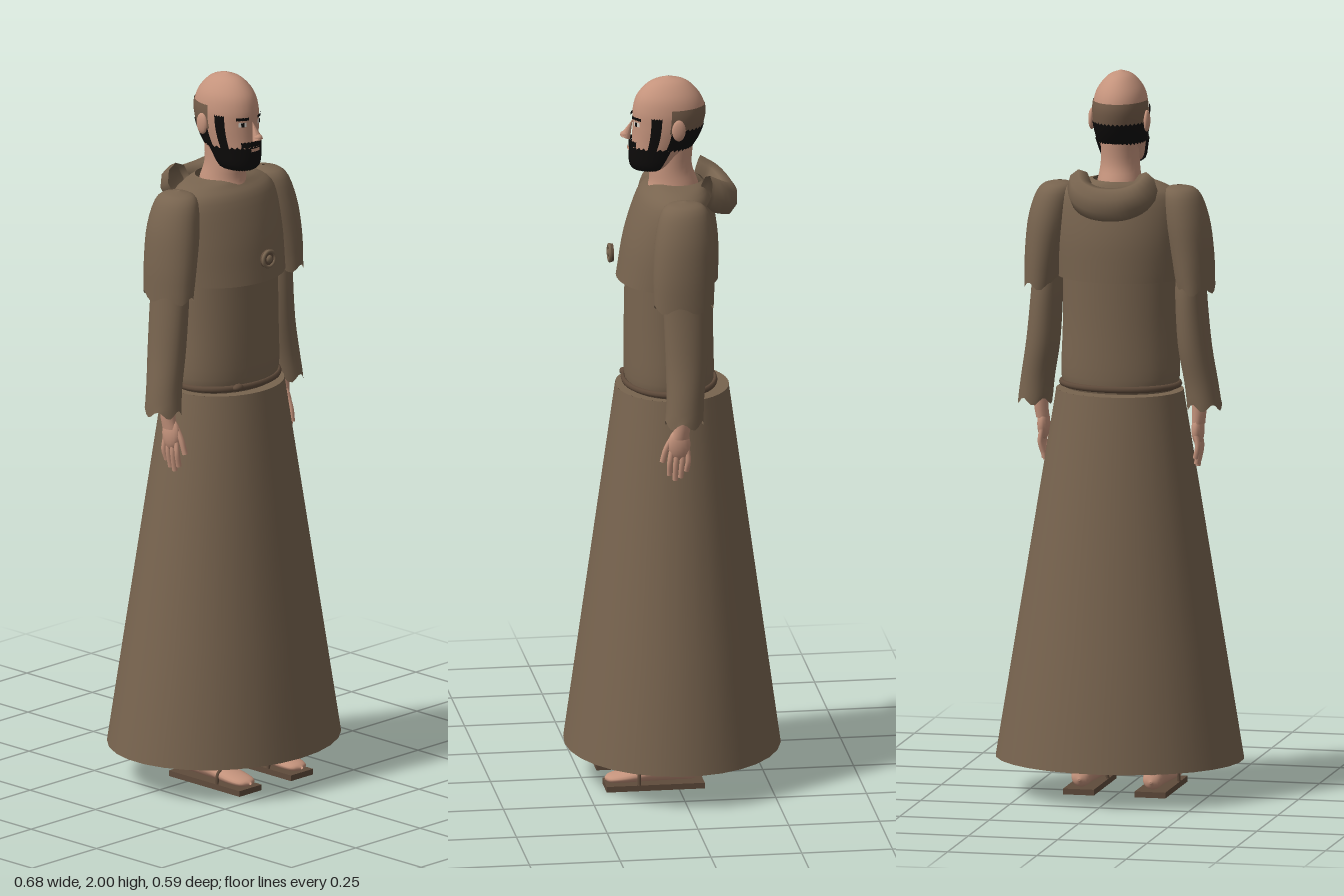
import * as THREE from 'three';

const mat = (name, color) => {
  const m = new THREE.MeshStandardMaterial({ color, side: THREE.DoubleSide });
  m.name = name;
  return m;
};

// Rows are [y, rx, rz, cx, cz], listed from top to bottom; angle 0 faces the front.
function densify(rows, steps) {
  const radii = new THREE.CatmullRomCurve3(rows.map(r => new THREE.Vector3(r[1], r[0], r[2])), false, 'catmullrom');
  const mids = new THREE.CatmullRomCurve3(rows.map(r => new THREE.Vector3(r[3] || 0, 0, r[4] || 0)), false, 'catmullrom');
  const n = (rows.length - 1) * steps;
  return Array.from({ length: n + 1 }, (_, i) => {
    const a = radii.getPoint(i / n), b = mids.getPoint(i / n);
    return [a.y, a.x, a.z, b.x, b.z];
  });
}

// Skins a grid of points, optionally joined around
function skin(rows, cols, closed, point) {
  const pos = [], index = [], w = closed ? cols : cols + 1;
  for (let i = 0; i <= rows; i++) for (let j = 0; j < w; j++) pos.push(...point(i, j));
  for (let i = 0; i < rows; i++) for (let j = 0; j < cols; j++) {
    const k = (j + 1) % w, a = i * w + j, b = i * w + k, c = a + w, d = b + w;
    index.push(a, c, b, b, c, d);
  }
  const g = new THREE.BufferGeometry();
  g.setAttribute('position', new THREE.Float32BufferAttribute(pos, 3));
  g.setIndex(index);
  g.computeVertexNormals();
  return g;
}

// Elliptical loft with an optional wavy hem
function loft(rows, { steps = 4, seg = 28, hem = 0 } = {}) {
  const s = densify(rows, steps), n = s.length - 1;
  return skin(n, seg, true, (i, j) => {
    const a = j / seg * Math.PI * 2, [y, rx, rz, cx, cz] = s[i];
    const dy = i === n ? hem * Math.sin(a * 5 + 1) : 0;
    return [cx + rx * Math.sin(a), y + dy, cz + rz * Math.cos(a)];
  });
}

const HEAD = densify([
  [2.0, 0.002, 0.002, 0, 0.01], [1.985, 0.035, 0.05, 0, 0.01], [1.95, 0.063, 0.085, 0, 0.01],
  [1.91, 0.074, 0.099, 0, 0.009], [1.87, 0.074, 0.097, 0, 0.012], [1.83, 0.069, 0.09, 0, 0.02],
  [1.79, 0.061, 0.077, 0, 0.035], [1.75, 0.05, 0.056, 0, 0.052], [1.735, 0.02, 0.03, 0, 0.06]], 5);

function headAt(y) {
  let i = 0;
  while (i < HEAD.length - 2 && HEAD[i + 1][0] > y) i++;
  const p = HEAD[i], q = HEAD[i + 1], t = THREE.MathUtils.clamp((p[0] - y) / (p[0] - q[0]), 0, 1);
  return p.map((v, k) => v + (q[k] - v) * t);
}

// Thin patch lying on the head between two heights and two angles
function headPatch(y0, y1, a0, a1, lift, jag = 0, cols = 24) {
  return skin(6, cols, false, (i, j) => {
    let y = y0 + (y1 - y0) * i / 6;
    if (j % 2 && i === 0) y -= jag;
    if (j % 2 && i === 6) y += jag;
    const a = a0 + (a1 - a0) * j / cols, [, rx, rz, , cz] = headAt(y);
    return [(rx + lift) * Math.sin(a), y, cz + (rz + lift) * Math.cos(a)];
  });
}

export function createModel() {
  const model = new THREE.Group();
  const cloth = mat('brown cloth', 0x78644f), flesh = mat('skin', 0xc4937c), black = mat('black hair', 0x0d0b0a);
  const stubble = mat('shaved hair', 0x755d4a), leather = mat('leather', 0x5f4b3b), white = mat('eye white', 0xd8d0c6);

  const add = (name, geo, m, x = 0, y = 0, z = 0) => {
    const mesh = new THREE.Mesh(geo, m);
    mesh.name = name;
    mesh.position.set(x, y, z);
    model.add(mesh);
    return mesh;
  };
  const ball = (name, m, x, y, z, sx, sy, sz) => {
    const b = add(name, new THREE.SphereGeometry(1, 16, 12), m, x, y, z);
    b.scale.set(sx, sy, sz);
    return b;
  };
  const tube = (name, pts, r, m) => add(name,
    new THREE.TubeGeometry(new THREE.CatmullRomCurve3(pts.map(p => new THREE.Vector3(...p))), 20, r, 8), m);

  // Robe
  add('skirt', loft([[1.12, 0.175, 0.155], [0.1, 0.342, 0.296]], { seg: 30 }), cloth);
  const top = add('skirtTop', new THREE.CircleGeometry(1, 30), cloth, 0, 1.12, 0);
  top.rotation.x = -Math.PI / 2;
  top.scale.set(0.175, 0.155, 1);
  add('torso', loft([[1.46, 0.16, 0.12, 0, 0.008], [1.3, 0.16, 0.121, 0, 0.01], [1.16, 0.164, 0.122, 0, 0.009],
    [1.12, 0.15, 0.115, 0, 0.008]]), cloth);
  add('cape', loft([[1.705, 0.07, 0.068, 0, -0.015], [1.69, 0.13, 0.08, 0, -0.013], [1.655, 0.172, 0.102, 0, -0.005],
    [1.55, 0.18, 0.128, 0, 0.004], [1.43, 0.175, 0.139, 0, 0.014]], { seg: 40 }), cloth);
  const belt = add('belt', new THREE.TorusGeometry(1, 0.05, 8, 40), leather, 0, 1.135, 0.008);
  belt.rotation.x = Math.PI / 2;
  belt.scale.set(0.162, 0.125, 0.18);
  ball('beltKnot', leather, -0.07, 1.137, 0.123, 0.018, 0.01, 0.012);

  // Hood folded on the back
  const hood = tube('hood', [[-0.095, 0.025, -0.08], [-0.08, 0.01, -0.12], [-0.045, 0, -0.14], [0, -0.003, -0.146],
    [0.045, 0, -0.14], [0.08, 0.01, -0.12], [0.095, 0.025, -0.08]], 0.033, cloth);
  hood.scale.y = 1.45;
  hood.position.y = 1.657;

  // Brooch
  const disc = add('brooch', new THREE.CylinderGeometry(0.025, 0.025, 0.01, 20), leather, 0, 1.5, 0.168);
  disc.rotation.x = Math.PI / 2;
  add('broochRim', new THREE.TorusGeometry(0.022, 0.005, 8, 20), cloth, 0, 1.5, 0.172);
  ball('broochBoss', cloth, 0, 1.5, 0.172, 0.011, 0.011, 0.008);

  // Head and neck
  add('head', loft(HEAD, { steps: 1 }), flesh);
  add('neck', loft([[1.83, 0.052, 0.056, 0, -0.004], [1.75, 0.053, 0.058, 0, 0.004], [1.7, 0.06, 0.067, 0, -0.003],
    [1.66, 0.07, 0.08, 0, 0]]), flesh);
  const nose = add('nose', new THREE.ConeGeometry(0.015, 0.055, 8), flesh, 0, 1.855, 0.119);
  nose.rotation.x = -0.4;
  ball('noseTip', flesh, 0, 1.838, 0.129, 0.012, 0.01, 0.014);
  add('shavedBand', headPatch(1.92, 1.855, 1.55, Math.PI * 2 - 1.55, 0.002), stubble);
  add('backHair', headPatch(1.865, 1.8, 1.6, Math.PI * 2 - 1.6, 0.004, 0.006, 40), black);
  add('beard', headPatch(1.812, 1.737, -1.75, 1.75, 0.008, 0.006, 40), black);
  add('moustache', headPatch(1.826, 1.808, -0.55, 0.55, 0.008, 0.003, 16), black);
  add('mouth', headPatch(1.806, 1.797, -0.22, 0.22, 0.011), flesh);

  for (const s of [1, -1]) {
    // Face details
    const patch = (name, y0, y1, a0, a1, lift, m, jag = 0) =>
      add(name, headPatch(y0, y1, s > 0 ? a0 : -a1, s > 0 ? a1 : -a0, lift, jag, 8), m);
    patch('sideburn', 1.9, 1.8, 1.0, 1.3, 0.004, black, 0.004);
    patch('eyebrow', 1.895, 1.886, 0.2, 0.65, 0.005, black, 0.001);
    patch('eye', 1.88, 1.868, 0.28, 0.56, 0.002, white);
    patch('iris', 1.88, 1.868, 0.37, 0.48, 0.004, black);
    ball('ear', flesh, s * 0.077, 1.865, -0.008, 0.009, 0.03, 0.019);

    // Shoulder cape and sleeve
    const mirror = rows => rows.map(([y, rx, rz, cx, cz]) => [y, rx, rz, s * cx, cz]);
    add('shoulderCape', loft(mirror([[1.692, 0.004, 0.004, 0.165, -0.012], [1.675, 0.048, 0.058, 0.172, -0.01],
      [1.6, 0.062, 0.08, 0.188, -0.008], [1.5, 0.058, 0.085, 0.204, -0.004], [1.405, 0.05, 0.082, 0.214, -0.002]]),
    { hem: 0.01 }), cloth);
    add('sleeve', loft(mirror([[1.46, 0.04, 0.06, 0.2, -0.005], [1.38, 0.043, 0.062, 0.202, -0.01],
      [1.25, 0.046, 0.058, 0.212, -0.01], [1.15, 0.046, 0.052, 0.228, -0.004], [1.08, 0.047, 0.053, 0.237, 0]]),
    { hem: 0.01 }), cloth);

    // Hand
    add('wrist', loft(mirror([[1.2, 0.025, 0.025, 0.222, 0], [1.08, 0.02, 0.022, 0.222, 0.002],
      [1.03, 0.018, 0.024, 0.218, 0.008]]), { seg: 14 }), flesh);
    ball('palm', flesh, s * 0.216, 1.012, 0.011, 0.017, 0.045, 0.031);
    for (let i = 0; i < 4; i++) {
      const z = -0.011 + i * 0.014, tip = [0.935, 0.917, 0.91, 0.925][i];
      tube('finger', [[s * 0.216, 1.0, z], [s * 0.22, 0.965, z * 1.2], [s * 0.213, tip, z * 1.1 + 0.003]], 0.0075, flesh);
    }
    tube('thumb', [[s * 0.214, 1.04, 0.025], [s * 0.212, 1.0, 0.046], [s * 0.208, 0.962, 0.056]], 0.008, flesh);

    // Leg, foot and sandal
    add('leg', loft(mirror([[1.0, 0.065, 0.07, 0.09, -0.005], [0.5, 0.047, 0.052, 0.095, -0.01],
      [0.35, 0.045, 0.052, 0.098, -0.02], [0.12, 0.028, 0.032, 0.1, -0.02], [0.05, 0.028, 0.034, 0.1, -0.02]]),
    { seg: 18 }), flesh);
    const foot = add('foot', loft([[0.2, 0.004, 0.004, 0, -0.028], [0.185, 0.03, 0.011, 0, -0.029],
      [0.14, 0.039, 0.017, 0, -0.034], [0.07, 0.034, 0.026, 0, -0.043], [0, 0.029, 0.035, 0, -0.052],
      [-0.045, 0.025, 0.025, 0, -0.044], [-0.06, 0.003, 0.003, 0, -0.04]], { seg: 18 }), flesh, s * 0.1);
    foot.rotation.x = Math.PI / 2;
    add('sole', new THREE.BoxGeometry(0.086, 0.016, 0.27), leather, s * 0.1, 0.008, 0.065);
    tube('sandalStrap', [[s * 0.1 - 0.04, 0.015, 0.11], [s * 0.1 - 0.034, 0.045, 0.11], [s * 0.1, 0.061, 0.11],
      [s * 0.1 + 0.034, 0.045, 0.11], [s * 0.1 + 0.04, 0.015, 0.11]], 0.005, leather);
  }
  return model;
}
